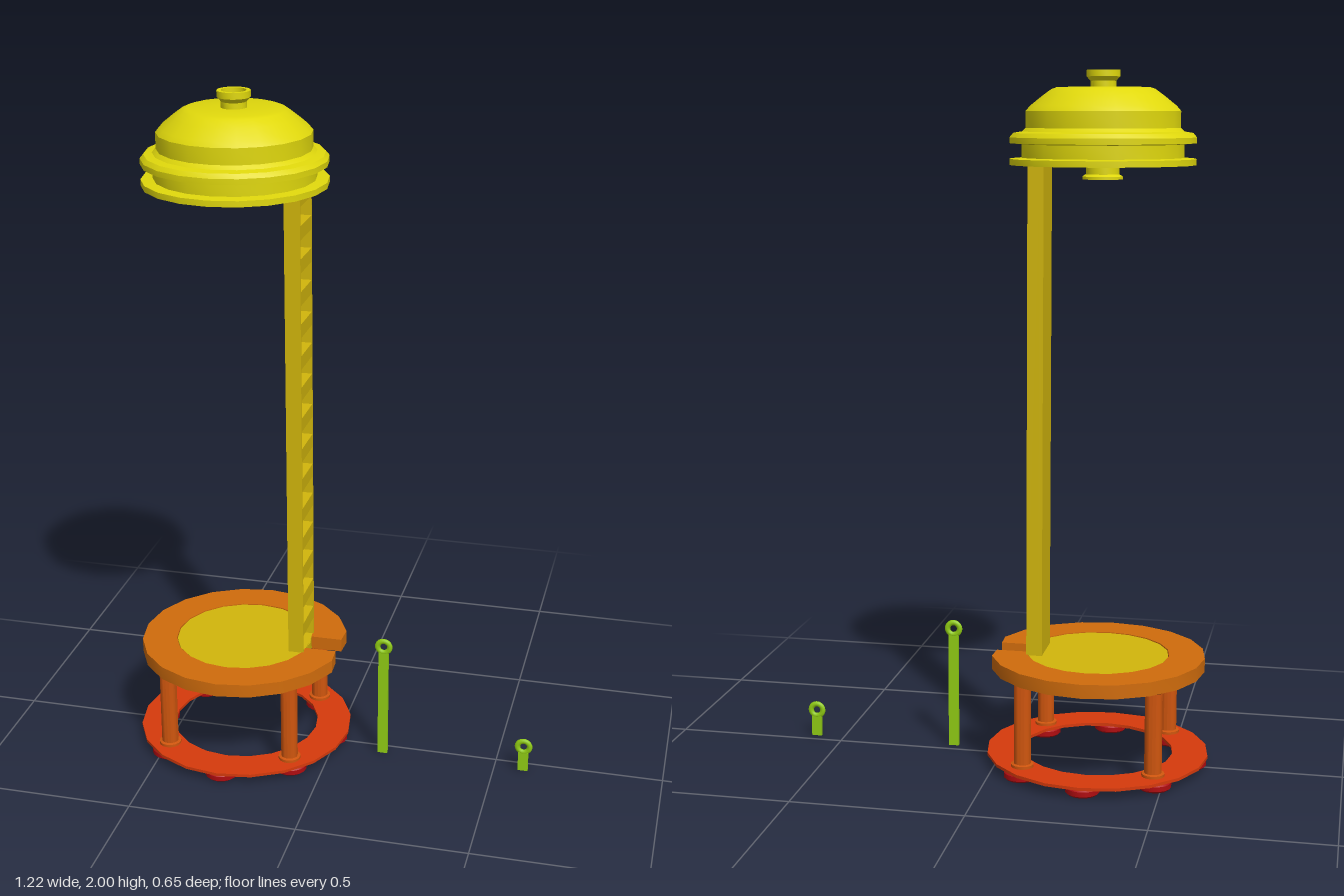
import * as THREE from 'three';
import { toCreasedNormals } from 'three/addons/utils/BufferGeometryUtils.js';

const SIDES = 20;
const mat = (color) => new THREE.MeshStandardMaterial({ color });
const YELLOW = mat(0xe0d80c), GOLD = mat(0xd2b60c), ORANGE = mat(0xd06c0c);
const RUST = mat(0xd0560e), RED = mat(0xd63a0c), DARK_RED = mat(0xb00c10), GREEN = mat(0x90cc14);

function add(parent, name, geometry, material, x = 0, y = 0, z = 0) {
  const mesh = new THREE.Mesh(geometry, material);
  mesh.name = name;
  mesh.position.set(x, y, z);
  parent.add(mesh);
  return mesh;
}

// Points of a regular polygon, from corner a to corner b
function polygon(r, a = 0, b = SIDES - 1) {
  const pts = [];
  for (let k = a; k <= b; k++) {
    const t = (k / SIDES) * Math.PI * 2;
    pts.push(new THREE.Vector2(r * Math.cos(t), r * Math.sin(t)));
  }
  return pts;
}

// Extrude a plan shape upwards
function slab(shape, height) {
  const g = new THREE.ExtrudeGeometry(shape, { depth: height, bevelEnabled: false });
  g.rotateX(-Math.PI / 2);
  return toCreasedNormals(g, 0.5);
}

function lathe(points, sides) {
  const g = new THREE.LatheGeometry(points.map(([r, y]) => new THREE.Vector2(r, y)), sides);
  return toCreasedNormals(g, 0.5);
}

// Thin upright post with an eye at its top
function eyePost(parent, name, x, eyeY) {
  const post = new THREE.Group();
  post.name = name;
  post.position.set(x, 0, 0.037);
  const h = eyeY - 0.018;
  add(post, 'postShaft', new THREE.BoxGeometry(0.03, h, 0.011), GREEN, 0, h / 2, 0);
  const eye = add(post, 'postEye', new THREE.TorusGeometry(0.0185, 0.0085, 8, 20), GREEN, 0, eyeY, 0);
  eye.scale.z = 0.75;
  parent.add(post);
}

export function createModel() {
  const model = new THREE.Group();
  const tower = new THREE.Group();
  tower.name = 'tower';
  tower.position.x = -0.287;
  model.add(tower);

  // Base ring
  const base = new THREE.Shape(polygon(0.325));
  base.holes.push(new THREE.Path(polygon(0.222).reverse()));
  add(tower, 'baseRing', slab(base, 0.009), RED, 0, 0.026, 0);

  // Eight round feet
  for (let i = 0; i < 8; i++) {
    const a = (i * Math.PI) / 4;
    add(tower, 'foot', lathe([[0, 0], [0.042, 0], [0.049, 0.006], [0.049, 0.02], [0.042, 0.026], [0, 0.026]], 16),
      DARK_RED, 0.272 * Math.cos(a), 0, 0.272 * Math.sin(a));
  }

  // Four legs with collars at both ends
  for (const sx of [-1, 1]) for (const sz of [-1, 1]) {
    add(tower, 'leg', lathe([[0, 0.035], [0.033, 0.035], [0.033, 0.043], [0.025, 0.045],
      [0.025, 0.28], [0.029, 0.283], [0.029, 0.29], [0, 0.29]], 16), RUST, 0.188 * sx, 0, 0.188 * sz);
  }

  // Platform ring, cut open by a notch in front of the ladder
  const slot = 0.037;
  const deck = new THREE.Shape([
    new THREE.Vector2(0.294, slot), ...polygon(0.312, 1, 19), new THREE.Vector2(0.294, -slot),
    new THREE.Vector2(0.2, -slot), ...polygon(0.208, 1, 19).reverse(), new THREE.Vector2(0.2, slot),
  ]);
  add(tower, 'platformRing', slab(deck, 0.04), ORANGE, 0, 0.289, 0);
  add(tower, 'platformFloor', new THREE.CylinderGeometry(0.206, 0.206, 0.036, SIDES), GOLD, 0, 0.309, 0);

  // Ladder: a panel with a pocket for every step, backed by a plate
  const y0 = 0.29, y1 = 1.745, half = 0.066;
  const rect = (w, a, b, P) => new P([
    new THREE.Vector2(-w, a), new THREE.Vector2(w, a), new THREE.Vector2(w, b), new THREE.Vector2(-w, b)]);
  const front = rect(half, y0, y1, THREE.Shape);
  for (let i = 0; i < 15; i++) {
    const y = 0.355 + i * 0.0942;
    front.holes.push(rect(0.06, y - 0.027, y + 0.027, THREE.Path));
  }
  const steps = new THREE.ExtrudeGeometry(front, { depth: 0.035, bevelEnabled: false });
  steps.rotateY(Math.PI / 2);
  add(tower, 'ladderSteps', steps, GOLD, 0.166, 0, 0);
  add(tower, 'ladderBack', new THREE.BoxGeometry(0.011, y1 - y0, half * 2), GOLD, 0.1605, (y0 + y1) / 2, 0);

  // Domed head with flanges, a hollow lower hub and a hollow top knob
  add(tower, 'domeHead', lathe([
    [0, 1.735], [0.04, 1.735], [0.046, 1.7], [0.057, 1.7], [0.057, 1.708], [0.047, 1.714], [0.047, 1.74],
    [0.262, 1.74], [0.262, 1.757], [0.228, 1.76], [0.228, 1.797], [0.262, 1.8], [0.262, 1.816], [0.252, 1.828],
    [0.228, 1.832], [0.217, 1.842], [0.217, 1.888], [0.205, 1.902], [0.17, 1.93], [0.145, 1.948], [0.13, 1.953],
    [0.036, 1.953], [0.036, 1.97], [0.047, 1.982], [0.047, 2], [0.035, 2], [0.035, 1.98], [0, 1.98],
  ], SIDES), YELLOW);

  // Free-standing posts
  eyePost(model, 'tallPost', 0.155, 0.363);
  eyePost(model, 'shortPost', 0.586, 0.08);
  return model;
}
